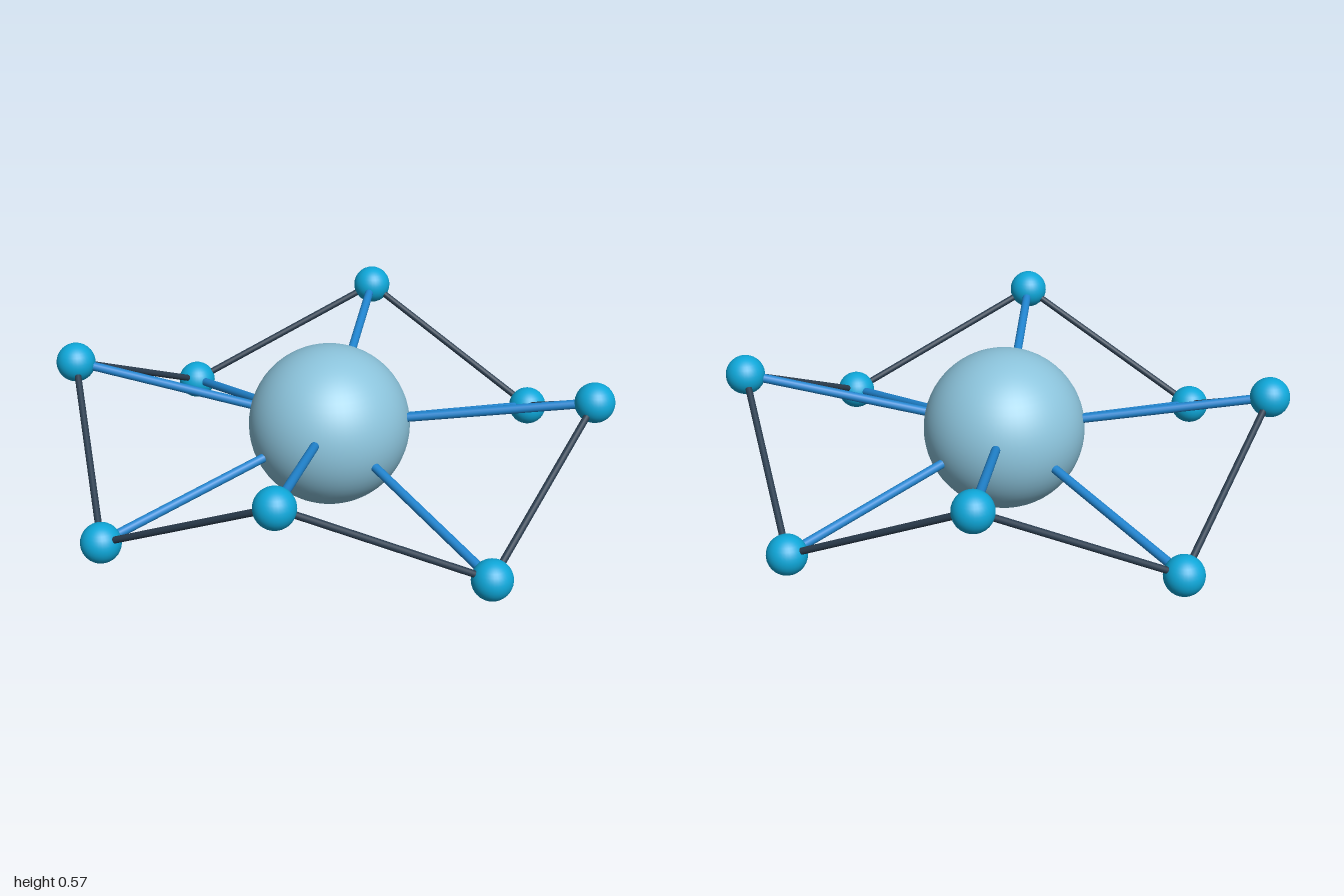
import * as THREE from 'three';

const material = (name, color) => {
  const m = new THREE.MeshStandardMaterial({ color });
  m.name = name;
  return m;
};

const CORE_RADIUS = 0.287;
const NODE_RADIUS = 0.07;
const RING_RADIUS = 0.93;
const LOW_Y = 0.103;
const HIGH_Y = 0.451;
const COUNT = 8;

// A round rod between two points
function rod(name, a, b, radius, mat) {
  const dir = b.clone().sub(a);
  const mesh = new THREE.Mesh(new THREE.CylinderGeometry(radius, radius, dir.length(), 16), mat);
  mesh.name = name;
  mesh.position.copy(a).add(b).multiplyScalar(0.5);
  mesh.quaternion.setFromUnitVectors(new THREE.Vector3(0, 1, 0), dir.normalize());
  return mesh;
}

function ball(name, position, radius, mat, segments) {
  const mesh = new THREE.Mesh(new THREE.SphereGeometry(radius, segments, segments / 2), mat);
  mesh.name = name;
  mesh.position.copy(position);
  return mesh;
}

export function createModel() {
  const model = new THREE.Group();
  model.name = 'spokedSphere';

  const coreBlue = material('pale blue', 0x8cc4dc);
  const nodeBlue = material('cyan blue', 0x0ea8da);
  const spokeBlue = material('mid blue', 0x2185d0);
  const ringSlate = material('dark slate', 0x2c3e50);

  // Central sphere
  const centre = new THREE.Vector3(0, CORE_RADIUS, 0);
  model.add(ball('core', centre, CORE_RADIUS, coreBlue, 64));

  // Nodes alternate low and high around the core
  const points = Array.from({ length: COUNT }, (_, i) => {
    const angle = (i / COUNT) * Math.PI * 2;
    return new THREE.Vector3(
      Math.cos(angle) * RING_RADIUS, i % 2 ? HIGH_Y : LOW_Y, Math.sin(angle) * RING_RADIUS);
  });

  const nodes = new THREE.Group();
  nodes.name = 'nodes';
  const spokes = new THREE.Group();
  spokes.name = 'spokes';
  const ring = new THREE.Group();
  ring.name = 'zigzagRing';

  points.forEach((p, i) => {
    nodes.add(ball('node', p, NODE_RADIUS, nodeBlue, 32));
    // Spokes start just inside the core surface
    const start = centre.clone().lerp(p, 0.25);
    spokes.add(rod('spoke', start, p, 0.016, spokeBlue));
    ring.add(rod('ringLink', p, points[(i + 1) % COUNT], 0.012, ringSlate));
  });

  model.add(nodes, spokes, ring);
  return model;
}
